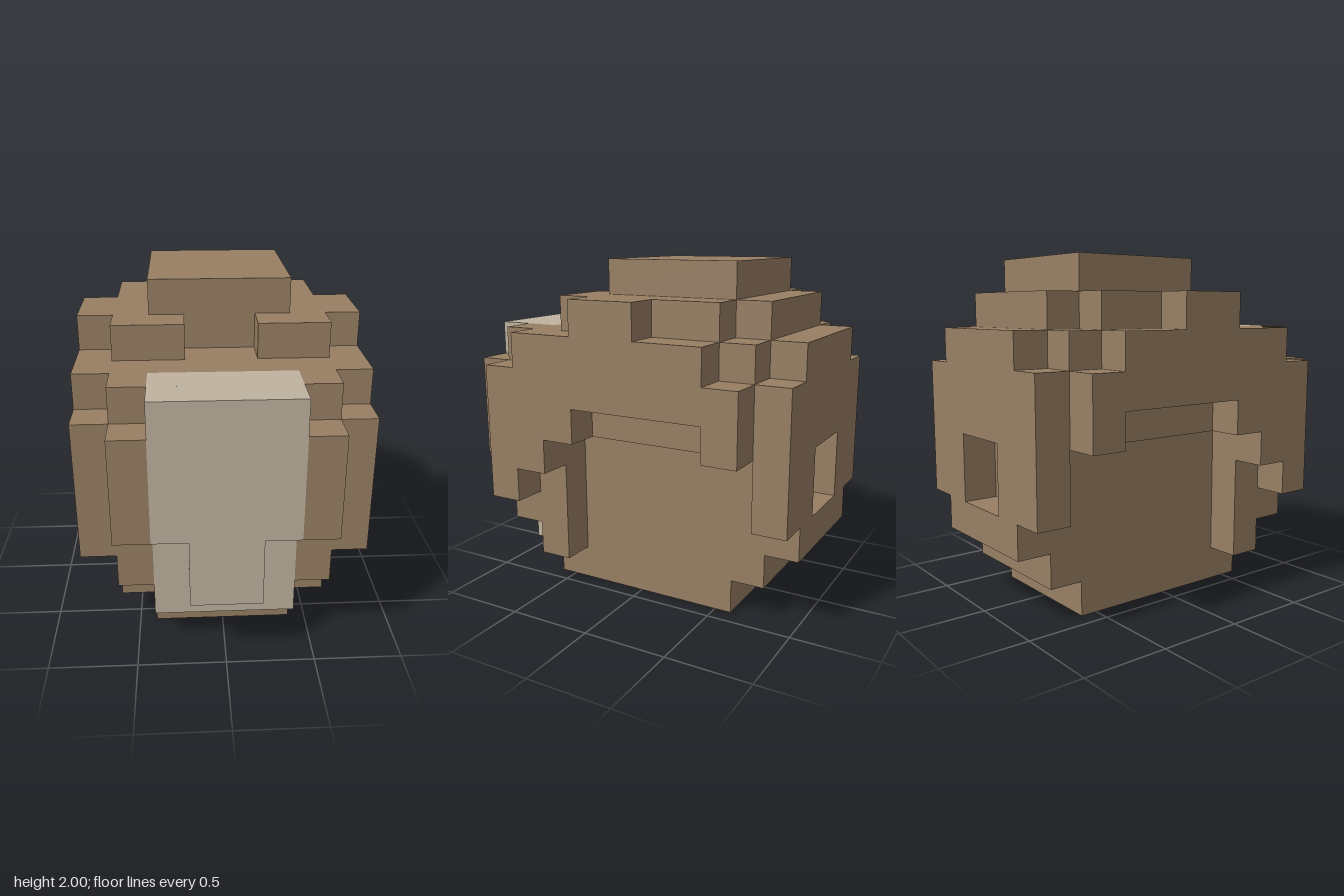
import * as THREE from 'three';

const CELL = 0.2; // every block sits on this grid

export function createModel() {
  const model = new THREE.Group();
  model.name = 'blockHead';

  const brown = new THREE.MeshStandardMaterial({ color: 0x987f64 });
  brown.name = 'brown';
  const beige = new THREE.MeshStandardMaterial({ color: 0xbfb39f });
  beige.name = 'beige';

  // One block spanning the given grid lines
  function block(parent, name, material, [x0, x1, y0, y1, z0, z1]) {
    const geometry = new THREE.BoxGeometry((x1 - x0) * CELL, (y1 - y0) * CELL, (z1 - z0) * CELL);
    const mesh = new THREE.Mesh(geometry, material);
    mesh.position.set((x0 + x1) / 2, (y0 + y1) / 2, (z0 + z1) / 2).multiplyScalar(CELL);
    mesh.name = name;
    parent.add(mesh);
  }

  // A group of blocks; those wholly on the +x side are mirrored to -x
  function part(name, material, boxes) {
    const group = new THREE.Group();
    group.name = name;
    for (const b of boxes) {
      if (b[0] > 0) {
        block(group, name + 'Left', material, b);
        block(group, name + 'Right', material, [-b[1], -b[0], ...b.slice(2)]);
      } else {
        block(group, name + 'Block', material, b);
      }
    }
    model.add(group);
  }

  // Each block: x0, x1, y0, y1, z0, z1 in grid cells
  part('base', brown, [[-2, 2, 0, 1, -3, 3]]);
  part('core', brown, [[-2, 2, 1, 8, -4, 3]]);

  // Back plate framing a square recess
  part('backPlate', brown, [
    [-2, 2, 5, 8, -5, -4],
    [-2, 2, 2, 3, -5, -4],
    [1, 2, 3, 5, -5, -4],
    [2, 3, 3, 7, -5, -4],
  ]);

  // Sides: inner layer, then the outer layer with its slot and stepped cheek
  part('innerSide', brown, [[2, 3, 5, 8, -4, 3]]);
  part('outerSide', brown, [
    [3, 4, 6, 8, -3, 3],
    [3, 4, 5, 7, -4, -3],
    [3, 4, 5, 6, 1, 2],
    [3, 4, 4, 6, 2, 3],
    [3, 4, 3, 7, 3, 4],
  ]);

  // Frame beside the face
  part('faceFrame', brown, [
    [2, 3, 1, 5, 2, 3],
    [2, 3, 2, 8, 3, 4],
    [2, 3, 4, 7, 4, 5],
  ]);

  // Pale face with a raised upper panel and chin piece
  part('face', beige, [
    [-2, 2, 1, 8, 3, 4],
    [-2, 2, 4, 8, 4, 5],
    [-1, 1, 2, 4, 4, 5],
  ]);

  // Stepped crown and its front bumps
  part('crown', brown, [
    [-2, 2, 8, 9, -4, 1],
    [2, 3, 8, 9, -3, 1],
    [3, 4, 8, 9, -1, 1],
  ]);
  part('crownBump', brown, [[1, 3, 8, 9, 1, 2]]);
  part('topCap', brown, [[-2, 2, 9, 10, -3, 1]]);

  return model;
}
